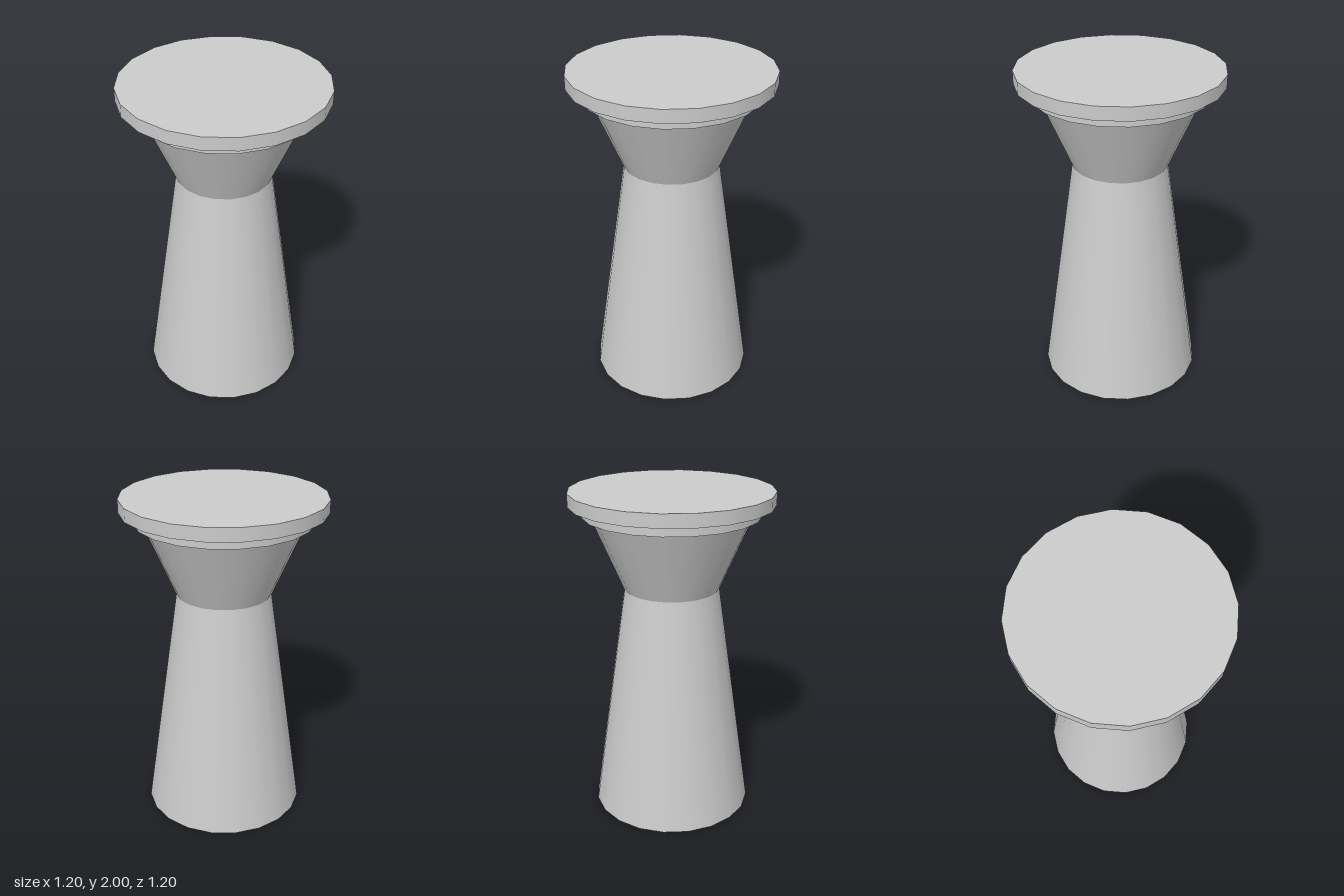
import * as THREE from 'three';

const SIDES = 20;

export function createModel() {
  const group = new THREE.Group();
  const material = new THREE.MeshStandardMaterial({ color: 0xcccccc });

  // A closed, smooth-sided round section between two heights
  function addSection(name, bottomRadius, topRadius, bottom, top) {
    const geometry = new THREE.CylinderGeometry(topRadius, bottomRadius, top - bottom, SIDES);
    const mesh = new THREE.Mesh(geometry, material);
    mesh.name = name;
    mesh.position.y = (bottom + top) / 2;
    group.add(mesh);
  }

  // Tapered pedestal with a flared neck
  addSection('pedestal', 0.49, 0.285, 0, 1.415);
  addSection('flaredNeck', 0.285, 0.473, 1.415, 1.858);

  // Stepped round top
  addSection('lowerRim', 0.522, 0.522, 1.858, 1.922);
  addSection('topDisc', 0.6, 0.6, 1.922, 2);

  return group;
}
